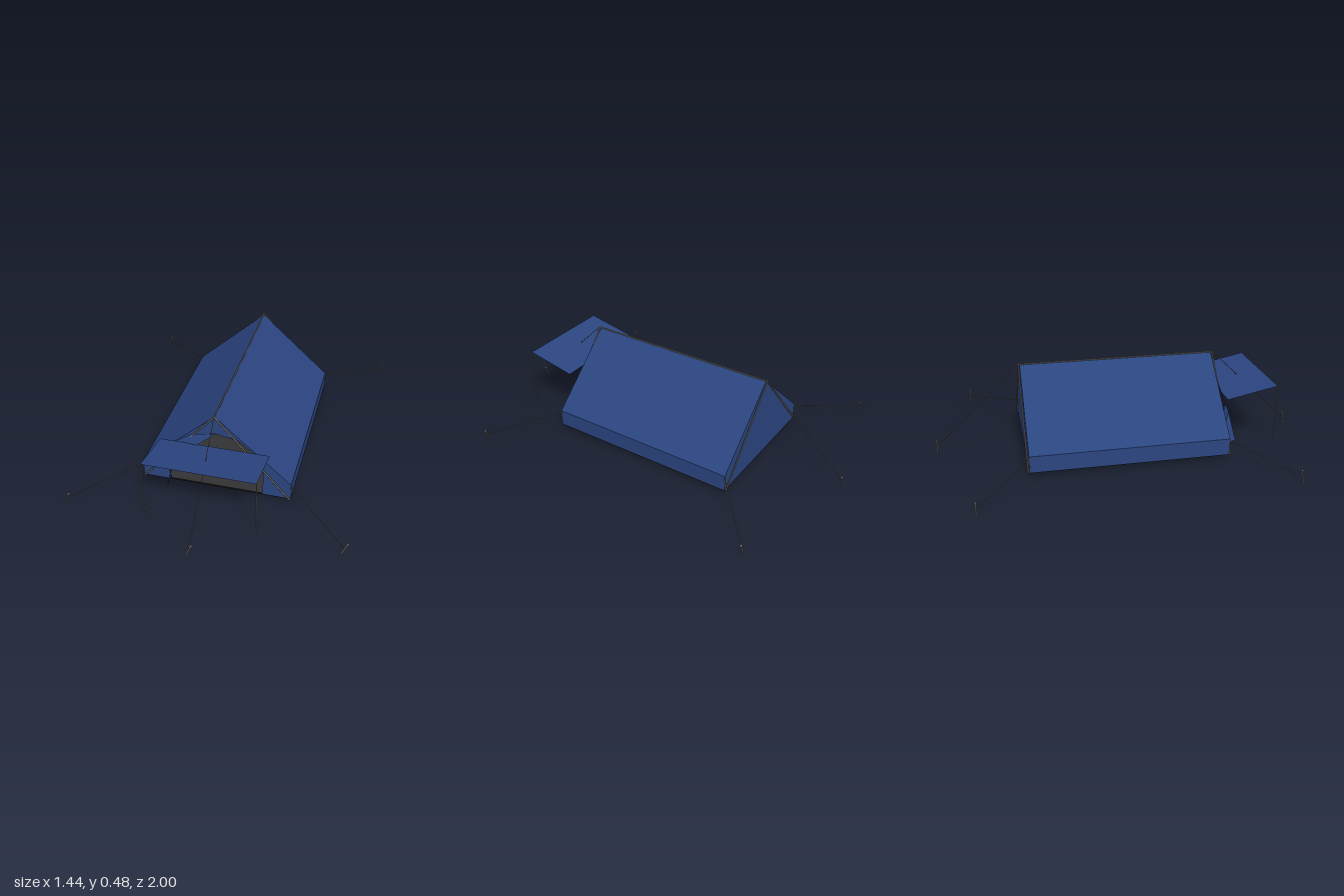
import * as THREE from 'three';

const mat = (color) => new THREE.MeshStandardMaterial({ color, side: THREE.DoubleSide });
const V = (p) => new THREE.Vector3(...p);

export function createModel() {
  const tent = new THREE.Group();
  tent.name = 'tent';
  const canvas = mat(0x2b4580), dark = mat(0x1b1b1c), screen = mat(0x3a3a3e);
  const metal = mat(0x77736c), cord = mat(0x6e6252);

  const W = 0.39, BASE = 0.03, EAVE = 0.12, TOP = 0.472, L = 0.53;

  const add = (name, geometry, material, parent = tent) => {
    const mesh = new THREE.Mesh(geometry, material);
    mesh.name = name;
    parent.add(mesh);
    return mesh;
  };

  // Straight round bar between two points
  const bar = (name, a, b, radius, material, parent = tent) => {
    const p = V(a), q = V(b), d = q.clone().sub(p);
    const mesh = add(name, new THREE.CylinderGeometry(radius, radius, d.length(), 8), material, parent);
    mesh.position.copy(p).add(q).multiplyScalar(0.5);
    mesh.quaternion.setFromUnitVectors(new THREE.Vector3(0, 1, 0), d.normalize());
    return mesh;
  };

  // Cloth strip joining two lines of points, faceted at its folds
  const strip = (name, lineA, lineB, material) => {
    const pos = [];
    for (let i = 0; i < lineA.length - 1; i++) {
      const [a, b, c, d] = [lineA[i], lineB[i], lineB[i + 1], lineA[i + 1]];
      pos.push(...a, ...b, ...c, ...a, ...c, ...d);
    }
    const g = new THREE.BufferGeometry();
    g.setAttribute('position', new THREE.Float32BufferAttribute(pos, 3));
    g.computeVertexNormals();
    return add(name, g, material);
  };

  const shapeOf = (pts) => new THREE.Shape(pts.map((p) => new THREE.Vector2(...p)));

  // Roof slopes and low side walls
  const profile = [[W, BASE], [W, EAVE], [0, TOP], [-W, EAVE], [-W, BASE]];
  strip('roofAndSides', profile.map(([x, y]) => [x, y, L]), profile.map(([x, y]) => [x, y, -L]), canvas);

  // Rear wall, facing backwards
  const rear = add('rearWall', new THREE.ShapeGeometry(shapeOf(profile)), canvas);
  rear.rotation.y = Math.PI;
  rear.position.z = -L;

  // Front wall around the doorway, with a screen behind it
  const door = [[0.245, BASE], [0.245, 0.245], [0.12, 0.345], [0, 0.37],
    [-0.12, 0.345], [-0.245, 0.245], [-0.245, BASE]];
  const front = add('frontWall', new THREE.ShapeGeometry(shapeOf(
    [[W, BASE], [W, EAVE], [0, TOP], [-W, EAVE], [-W, BASE], ...door.slice().reverse()])), canvas);
  front.position.z = L;
  const mesh = add('doorScreen', new THREE.ShapeGeometry(shapeOf(door)), screen);
  mesh.position.z = L - 0.006;

  // Groundsheet
  const floor = add('groundsheet', new THREE.BoxGeometry(2 * W, 0.004, 2 * L), dark);
  floor.position.y = BASE;

  // Door flap pulled to one side
  strip('doorFlap',
    [[-0.248, BASE, 0.533], [-0.242, 0.268, 0.54], [-0.12, 0.35, 0.537], [0, 0.372, 0.535]],
    [[-0.24, BASE, 0.617], [-0.208, 0.2, 0.578], [-0.1, 0.29, 0.555], [0, 0.367, 0.537]], canvas);

  // Awning and its two poles
  const aw = 0.28, awFront = 0.822, awBack = 0.545;
  strip('awning', [[-aw, 0.297, awBack], [aw, 0.297, awBack]],
    [[-aw, 0.354, awFront], [aw, 0.354, awFront]], canvas);
  for (const s of [-1, 1]) {
    bar('awningPole', [s * aw, BASE, awFront], [s * aw, 0.356, awFront], 0.003, metal);
  }

  // Ridge pole and end frames
  bar('ridgePole', [0, TOP + 0.003, -0.54], [0, TOP + 0.003, 0.54], 0.004, metal);
  for (const e of [-1, 1]) {
    for (const s of [-1, 1]) {
      bar('framePole', [s * 0.385, BASE, e * 0.537], [0, TOP + 0.003, e * 0.537], 0.004, metal);
      bar('cornerPole', [s * W, BASE, e * L], [s * W, EAVE, e * L], 0.002, metal);
    }
  }

  // Guy ropes, each with a slanted peg and a short crosspiece
  const guy = (from, [x, z]) => {
    const g = new THREE.Group();
    g.name = 'guyLine';
    tent.add(g);
    bar('rope', from, [x, 0.034, z], 0.0017, cord, g);
    bar('peg', [x - 0.014, 0.002, z], [x + 0.012, 0.064, z], 0.004, metal, g);
    bar('pegHead', [x + 0.006, 0.065, z], [x + 0.018, 0.062, z], 0.005, metal, g);
  };
  for (const e of [-1, 1]) {
    guy([0, TOP + 0.005, e * 0.538], [0, e * 0.995]);
    for (const s of [-1, 1]) guy([s * W, 0.11, e * L], [s * 0.702, e * 0.806]);
  }

  return tent;
}
